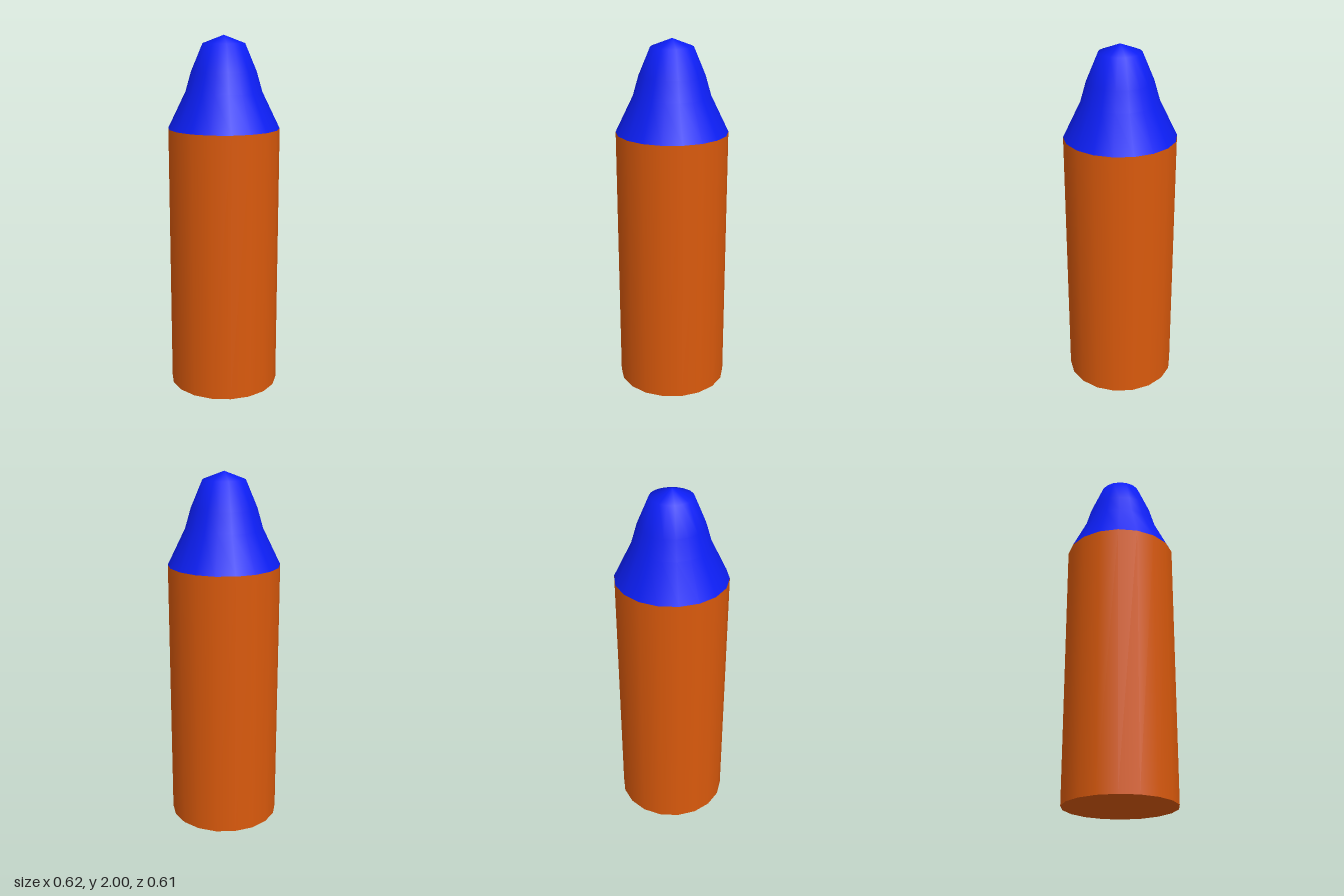
import * as THREE from 'three';

const SIDES = 18;
const START = Math.PI / 2; // puts a corner on the x axis
const RADIUS = 0.31;
const SHOULDER = 1.495;

export function createModel() {
  const model = new THREE.Group();
  model.name = 'crayon';

  // Straight barrel with flat ends
  const barrel = new THREE.Mesh(
    new THREE.CylinderGeometry(RADIUS, RADIUS, SHOULDER, SIDES, 1, false, START),
    new THREE.MeshStandardMaterial({ color: 0xd9590c })
  );
  barrel.name = 'barrel';
  barrel.position.y = SHOULDER / 2;
  model.add(barrel);

  // Flared tip with a blunt, slightly pointed end
  const profile = [
    [RADIUS, SHOULDER], [0.212, 1.695], [0.18, 1.805], [0.116, 1.956], [0, 2],
  ].map(([r, y]) => new THREE.Vector2(r, y));
  const tip = new THREE.Mesh(
    new THREE.LatheGeometry(profile, SIDES, START),
    new THREE.MeshStandardMaterial({ color: 0x0c1ef5 })
  );
  tip.name = 'tip';
  model.add(tip);

  return model;
}
